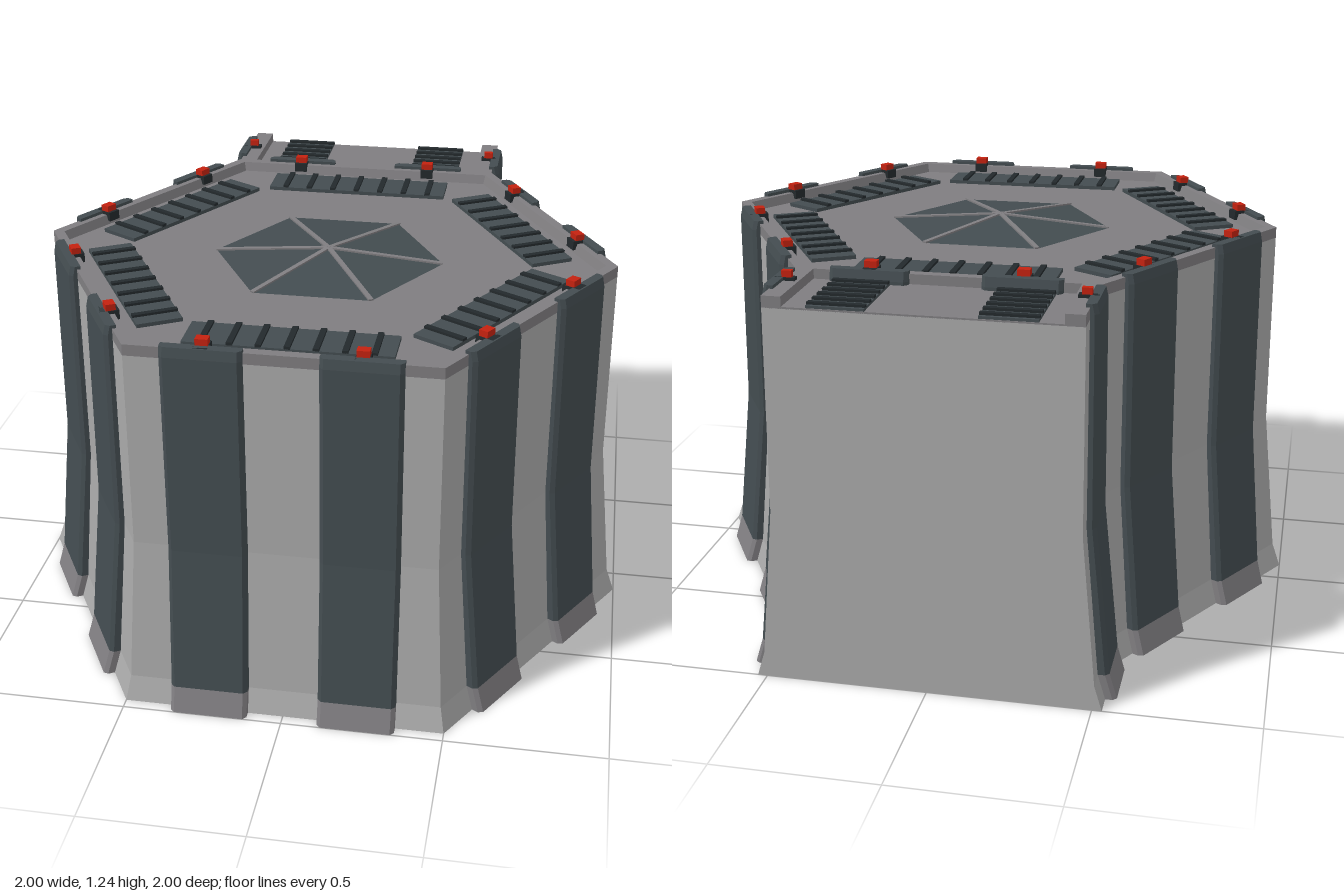
import * as THREE from 'three';

const mat = (name, color) => Object.assign(new THREE.MeshStandardMaterial({ color }), { name });

// Split shared vertices so every face gets its own normal
function facet(geo) {
  const g = geo.index ? geo.toNonIndexed() : geo;
  g.computeVertexNormals();
  return g;
}

// Closed solid through rings of [x, y, z], each counter-clockwise seen from above, bottom to top
function loft(rings) {
  const n = rings[0].length, idx = [];
  rings.slice(1).forEach((_, r) => {
    for (let i = 0; i < n; i++) {
      const a = r * n + i, b = r * n + (i + 1) % n;
      idx.push(a, b, b + n, a, b + n, a + n);
    }
  });
  const top = (rings.length - 1) * n;
  for (let i = 1; i < n - 1; i++) idx.push(0, i + 1, i, top, top + i, top + i + 1);
  const g = new THREE.BufferGeometry();
  g.setAttribute('position', new THREE.Float32BufferAttribute(rings.flat(2), 3));
  g.setIndex(idx);
  return facet(g);
}

// Six-sided lathe from [apothem, y] points, corners on the x axis
function hex(points) {
  const pts = points.map(([a, y]) => new THREE.Vector2(a / Math.cos(Math.PI / 6), y));
  return facet(new THREE.LatheGeometry(pts, 6, Math.PI / 6));
}

export function createModel() {
  const wall = mat('wall grey', 0xa9a9a9);
  const roofGrey = mat('roof grey', 0x7f7d80);
  const slate = mat('slate', 0x434c50);
  const dark = mat('dark slat', 0x23292c);
  const red = mat('lamp red', 0xc42210);

  const model = new THREE.Group();
  model.name = 'hexagonalBuilding';
  const add = (parent, name, geo, material, x = 0, y = 0, z = 0) => {
    const m = new THREE.Mesh(geo, material);
    m.name = name;
    m.position.set(x, y, z);
    parent.add(m);
    return m;
  };
  const box = (w, h, d) => new THREE.BoxGeometry(w, h, d);
  const group = (parent, name) => {
    const g = new THREE.Group();
    g.name = name;
    parent.add(g);
    return g;
  };

  const ROOF = 1.175, RIM = 1.21, SHIFT = 0.336;
  const wallProfile = [[0.866, 0], [0.842, 0.08], [0.8, 0.55], [0.797, ROOF]];
  const ribProfile = [[0.9, 0], [0.876, 0.08], [0.828, 0.55], [0.822, 1.19], [0.815, 1.22]];

  // Main hexagonal hall
  const hall = group(model, 'hall');
  hall.position.z = 0.1;
  add(hall, 'hallWalls', hex([[0, 0], ...wallProfile]), wall);
  add(hall, 'hallRoof', hex([[0.797, ROOF], [0.797, RIM], [0.765, RIM], [0.755, ROOF + 0.005], [0, ROOF + 0.005]]), roofGrey);

  // Buttress with chamfered edges, grey foot and a lamp on top
  function buttress(parent, x, width, lampWidth) {
    const b = group(parent, 'buttress');
    b.position.x = x;
    const w = width / 2, c = 0.012;
    const ring = ([f, y]) => [[-w, y, 0.785], [-w, y, f - c], [-w + c, y, f], [w - c, y, f], [w, y, f - c], [w, y, 0.785]];
    add(b, 'buttressFoot', loft(ribProfile.slice(0, 2).map(ring)), roofGrey);
    add(b, 'buttressBody', loft(ribProfile.slice(1).map(ring)), slate);
    add(b, 'lampBase', box(lampWidth + 0.005, 0.03, 0.06), dark, 0, 1.205, 0.78);
    add(b, 'lamp', box(lampWidth, 0.024, 0.03), red, 0, 1.228, 0.775);
  }

  // Slatted vent, lying flat
  function vent(parent, name, length, depth, count, pitch) {
    const v = group(parent, name);
    add(v, 'ventPanel', box(length, 0.014, depth), slate);
    for (let i = 0; i < count; i++) {
      add(v, 'ventSlat', box(0.018, 0.009, depth), dark, (i - (count - 1) / 2) * pitch, 0.01);
    }
    return v;
  }

  // Six identical sides
  for (let k = 0; k < 6; k++) {
    const side = group(hall, 'side');
    side.rotation.y = k * Math.PI / 3;
    for (const s of [-1, 1]) buttress(side, s * 0.23, 0.24, 0.038);
    vent(side, 'roofVent', 0.62, 0.14, 7, 0.084).position.set(0, ROOF + 0.01, 0.645);
  }

  // Shallow skylight with glazing bars
  const skylight = group(hall, 'skylight');
  skylight.position.y = ROOF + 0.005;
  const R = 0.37, rise = 0.03;
  add(skylight, 'skylightGlass', hex([[R * Math.cos(Math.PI / 6), 0], [0, rise]]), slate);
  for (let k = 0; k < 6; k++) {
    const arm = group(skylight, 'glazingArm');
    arm.rotation.y = k * Math.PI / 3;
    const bar = add(arm, 'glazingBar', box(R, 0.008, 0.016), roofGrey, R / 2, rise / 2 + 0.001, 0);
    bar.rotation.z = -Math.atan2(rise, R);
  }

  // Rear annex
  const annex = group(model, 'annex');
  const slab = (x0, x1, y, z0, z1) => [[x0, y, z1], [x1, y, z1], [x1, y, z0], [x0, y, z0]];
  add(annex, 'annexWalls', loft(wallProfile.map(([a, y]) => slab(SHIFT - a, a - SHIFT, y, -1, -0.6))), wall);
  add(annex, 'annexRoof', box(0.9, 0.006, 0.3), roofGrey, 0, ROOF + 0.002, -0.85);
  for (const s of [-1, 1]) {
    add(annex, 'annexParapet', box(0.058, RIM - ROOF, 0.31), roofGrey, s * 0.432, (RIM + ROOF) / 2, -0.845);
    const side = group(annex, 'annexSide');
    side.rotation.y = s * Math.PI / 2;
    side.position.set(-s * SHIFT, 0, -0.83);
    buttress(side, 0, 0.2, 0.018);
    const v = vent(annex, 'annexVent', 0.28, 0.17, 6, 0.048);
    v.rotation.y = Math.PI / 2;
    v.position.set(s * 0.247, ROOF + 0.006, -0.858);
  }
  return model;
}
